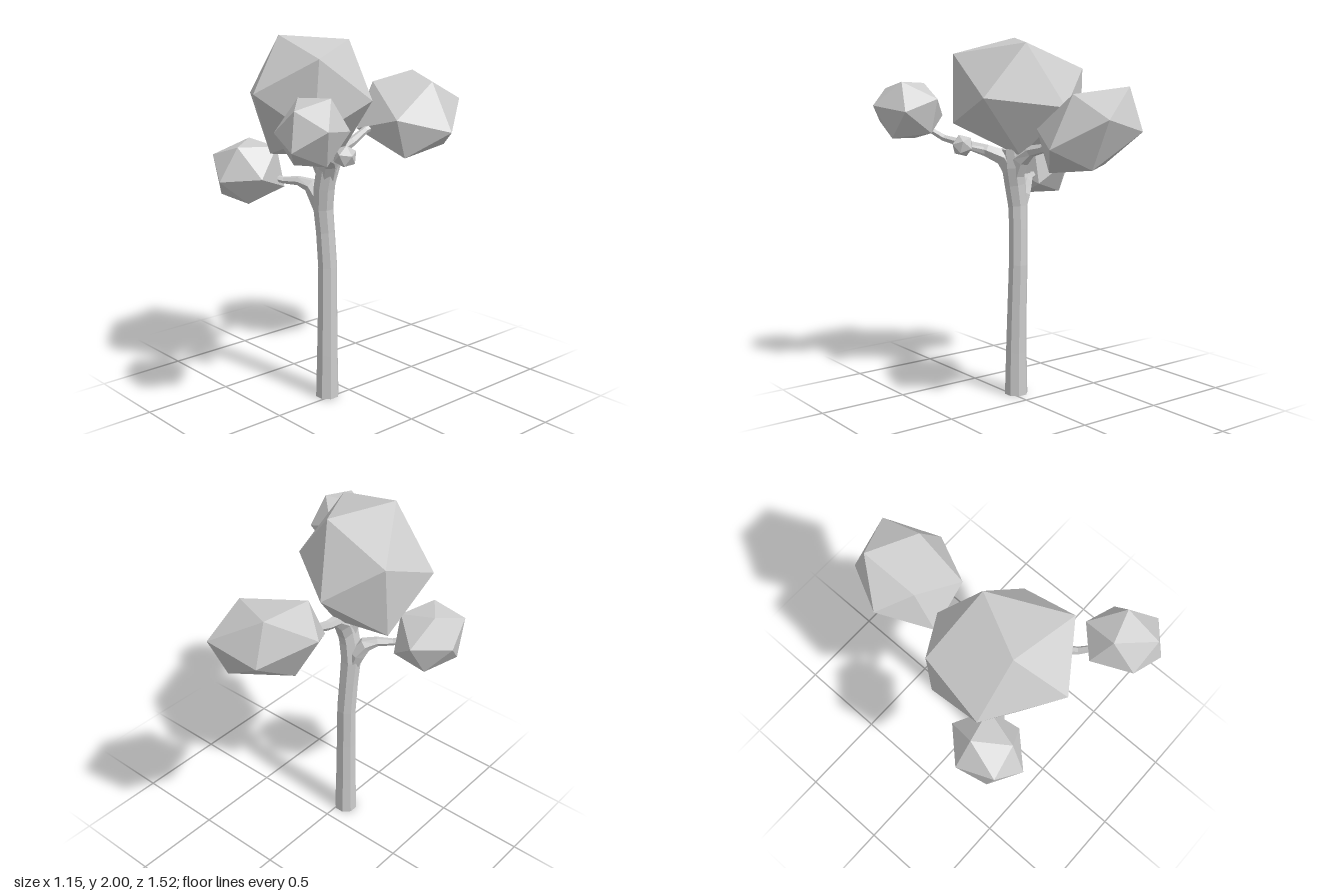
import * as THREE from 'three';
import { ConvexGeometry } from 'three/addons/geometries/ConvexGeometry.js';

const material = new THREE.MeshStandardMaterial({ color: 0xcccccc, flatShading: true });

function addPart(group, name, geometry) {
  const mesh = new THREE.Mesh(geometry, material);
  mesh.name = name;
  group.add(mesh);
  return mesh;
}

// Tapered faceted limb; each station is [x, y, z, radius]
function limbGeometry(stations, sides) {
  const points = stations.map(([x, y, z]) => new THREE.Vector3(x, y, z));
  const positions = [];
  const index = [];
  const up = new THREE.Vector3(0, 1, 0);
  const turn = new THREE.Quaternion();
  const previous = up.clone();
  const last = points.length - 1;
  points.forEach((p, i) => {
    const tangent = points[Math.min(i + 1, last)].clone().sub(points[Math.max(i - 1, 0)]).normalize();
    if (i === 0 && tangent.y > 0.95) tangent.copy(up); // flat foot on the ground
    turn.premultiply(new THREE.Quaternion().setFromUnitVectors(previous, tangent));
    previous.copy(tangent);
    for (let s = 0; s < sides; s++) {
      const a = ((s + 0.5) / sides) * Math.PI * 2;
      const v = new THREE.Vector3(Math.sin(a), 0, Math.cos(a))
        .multiplyScalar(stations[i][3]).applyQuaternion(turn).add(p);
      positions.push(v.x, v.y, v.z);
    }
  });
  for (let i = 0; i < last; i++) {
    for (let s = 0; s < sides; s++) {
      const a = i * sides + s;
      const b = i * sides + ((s + 1) % sides);
      index.push(a, b, b + sides, a, b + sides, a + sides);
    }
  }
  // End caps
  for (let s = 1; s < sides - 1; s++) {
    const top = last * sides;
    index.push(0, s + 1, s, top, top + s, top + s + 1);
  }
  const geometry = new THREE.BufferGeometry();
  geometry.setAttribute('position', new THREE.Float32BufferAttribute(positions, 3));
  geometry.setIndex(index);
  const flat = geometry.toNonIndexed();
  flat.computeVertexNormals();
  return flat;
}

// Twenty-sided foliage clump from six corners mirrored through its centre
function clumpGeometry(corners) {
  const points = corners.flatMap((c) => {
    const v = new THREE.Vector3(...c);
    return [v, v.clone().negate()];
  });
  return new ConvexGeometry(points);
}

export function createModel() {
  const tree = new THREE.Group();
  tree.name = 'tree';

  // Trunk and limbs
  const limbs = {
    trunk: [8, [[-0.032, 0, 0.135, 0.066], [-0.032, 0.25, 0.133, 0.06], [-0.034, 0.5, 0.128, 0.056],
      [-0.038, 0.75, 0.122, 0.054], [-0.046, 0.95, 0.13, 0.053], [-0.05, 1.08, 0.14, 0.056],
      [-0.035, 1.2, 0.145, 0.06], [-0.015, 1.3, 0.14, 0.062], [-0.005, 1.4, 0.14, 0.06]]],
    leftBranch: [6, [[-0.055, 1.04, 0.14, 0.04], [-0.085, 1.14, 0.15, 0.05], [-0.125, 1.2, 0.17, 0.04],
      [-0.175, 1.22, 0.21, 0.026], [-0.24, 1.22, 0.26, 0.019], [-0.34, 1.25, 0.34, 0.015]]],
    rightBranch: [6, [[-0.02, 1.25, 0.14, 0.05], [0.03, 1.35, 0.165, 0.052], [0.1, 1.385, 0.22, 0.038],
      [0.18, 1.42, 0.32, 0.026], [0.25, 1.45, 0.42, 0.02], [0.34, 1.53, 0.53, 0.014]]],
    backBranch: [6, [[-0.025, 1.24, 0.135, 0.05], [-0.03, 1.34, 0.09, 0.05], [-0.045, 1.39, 0.02, 0.034],
      [-0.06, 1.41, -0.07, 0.026], [-0.08, 1.46, -0.19, 0.02], [-0.06, 1.51, -0.36, 0.015]]],
    crownBranch: [6, [[-0.03, 1.27, 0.14, 0.05], [-0.06, 1.37, 0.17, 0.045], [-0.08, 1.5, 0.19, 0.03]]],
    budTwig: [5, [[0.09, 1.38, 0.21, 0.024], [0.17, 1.4, 0.23, 0.016], [0.25, 1.42, 0.24, 0.012]]],
  };
  for (const [name, [sides, stations]] of Object.entries(limbs)) {
    addPart(tree, name, limbGeometry(stations, sides));
  }

  // Foliage: centre, then six corners relative to it
  const clumps = {
    mainFoliage: [[-0.09, 1.68, 0.195], [[-0.08, 0.32, 0.135], [0.03, 0.05, 0.385], [0.09, 0.29, -0.195],
      [0.33, 0, -0.14], [0.3, 0.23, 0.185], [-0.29, 0.15, -0.21]]],
    backFoliage: [[-0.03, 1.53, -0.475], [[0.12, 0.07, -0.285], [-0.13, 0.22, -0.155], [0.14, 0.185, -0.04],
      [-0.12, 0.18, 0.165], [0.29, -0.08, -0.045], [0.147, 0, 0.235]]],
    rightFoliage: [[0.385, 1.6, 0.573], [[0.187, 0.03, 0.06], [0.072, 0.16, -0.055], [-0.105, 0.15, 0],
      [0.075, -0.067, 0.185], [0.105, 0, -0.145], [0.055, 0.12, 0.15]]],
    leftFoliage: [[-0.39, 1.265, 0.378], [[0.03, -0.03, 0.212], [-0.065, 0.165, -0.055], [0.058, 0.148, 0.112],
      [-0.185, 0.015, -0.05], [-0.12, 0.09, 0.148], [0.12, 0.135, -0.1]]],
  };
  for (const [name, [centre, corners]] of Object.entries(clumps)) {
    addPart(tree, name, clumpGeometry(corners)).position.set(...centre);
  }

  // Small bud beside the right branch
  const bud = addPart(tree, 'bud', new THREE.IcosahedronGeometry(0.062, 0));
  bud.position.set(0.245, 1.42, 0.245);
  bud.rotation.set(0.3, 0.5, 0.2);

  return tree;
}
